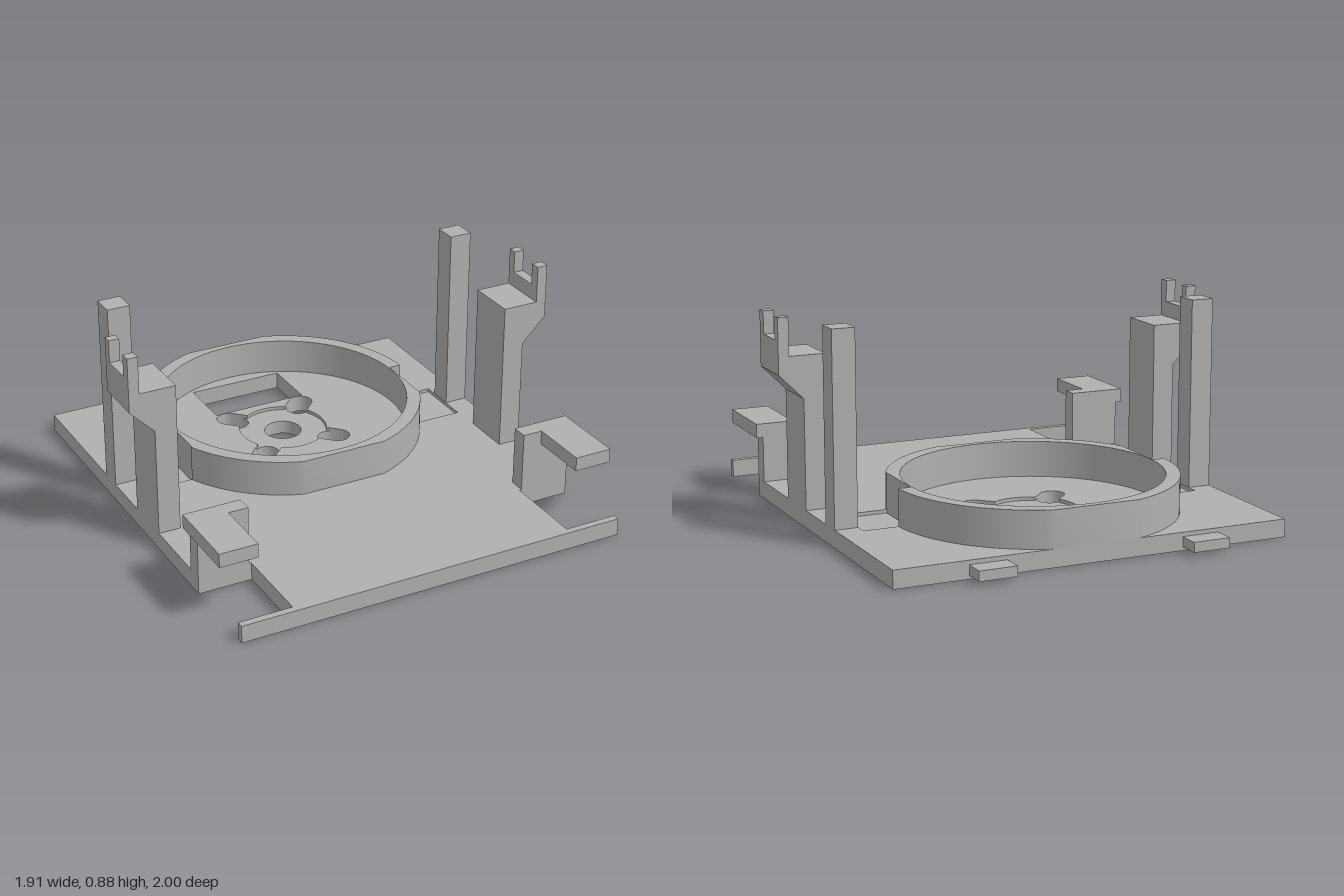
import * as THREE from 'three';
import { toCreasedNormals } from 'three/addons/utils/BufferGeometryUtils.js';

const CZ = -0.34;      // z of the ring centre
const TOP = 0.075;     // top of the base plate
const RECESS = 0.015;  // depth of the shallow pockets

export function createModel() {
  const model = new THREE.Group();
  model.name = 'mountingTray';
  const grey = new THREE.MeshStandardMaterial({ color: 0xb0b0b0 });
  grey.name = 'plain grey';

  const add = (name, geometry) => {
    const mesh = new THREE.Mesh(geometry, grey);
    mesh.name = name;
    model.add(mesh);
    return mesh;
  };
  // Box from its limits on each axis
  const box = (name, x0, x1, y0, y1, z0, z1) => {
    const g = new THREE.BoxGeometry(x1 - x0, y1 - y0, z1 - z0);
    g.translate((x0 + x1) / 2, (y0 + y1) / 2, (z0 + z1) / 2);
    return add(name, g);
  };
  // Upright extrusion of a plan drawn in (x, z)
  const slab = (name, shape, y0, y1) => {
    const g = new THREE.ExtrudeGeometry(shape, { depth: y1 - y0, bevelEnabled: false, curveSegments: 96 });
    g.rotateX(Math.PI / 2);
    g.translate(0, y1, 0);
    return add(name, toCreasedNormals(g, 0.4));
  };
  const path = (pts) => new THREE.Path(pts.map(([x, z]) => new THREE.Vector2(x, z)));
  const rect = (x0, x1, z0, z1) => path([[x0, z0], [x1, z0], [x1, z1], [x0, z1]]);
  const circle = (r) => new THREE.Path().absarc(0, CZ, r, 0, Math.PI * 2);

  // Base plan with two notches near the front corners
  const half = [[0.85, -0.91], [0.85, 0.615], [0.62, 0.615], [0.62, 0.97], [0.85, 0.97], [0.85, 1]];
  const plan = () => new THREE.Shape(
    [...half, ...half.map(([x, z]) => [-x, z]).reverse()].map(([x, z]) => new THREE.Vector2(x, z)));
  const window = rect(-0.212, 0.212, -0.82, -0.572);

  // Lower layer: window, shaft hole and four diagonal slots
  const lower = plan();
  lower.holes.push(window, circle(0.08));
  const SLOT_R = 0.052, NEAR = 0.215, FAR = 0.252;
  for (let i = 0; i < 4; i++) {
    const a = Math.PI / 4 + i * Math.PI / 2;
    const slot = new THREE.Path();
    slot.absarc(FAR * Math.cos(a), CZ + FAR * Math.sin(a), SLOT_R, a - Math.PI / 2, a + Math.PI / 2);
    slot.absarc(NEAR * Math.cos(a), CZ + NEAR * Math.sin(a), SLOT_R, a + Math.PI / 2, a + Math.PI * 1.5);
    slot.closePath();
    lower.holes.push(slot);
  }
  slab('basePlate', lower, 0, TOP - RECESS);

  // Upper layer: round recess merged with the slots, and two side pockets
  const recess = [];
  for (let i = 0; i < 360; i++) {
    const t = (i / 360) * Math.PI * 2;
    const phi = (t % (Math.PI / 2)) - Math.PI / 4;
    const s = Math.abs(Math.sin(phi));
    const r = s < SLOT_R / FAR
      ? FAR * Math.cos(phi) + Math.sqrt(SLOT_R ** 2 - (FAR * s) ** 2)
      : Math.max(0.19, SLOT_R / s);
    recess.push([r * Math.cos(t), CZ + r * Math.sin(t)]);
  }
  const upper = plan();
  upper.holes.push(window, path(recess),
    rect(0.545, 0.75, -0.36, -0.1), rect(-0.75, -0.545, -0.36, -0.1));
  slab('baseTopLayer', upper, TOP - RECESS, TOP);

  // Ring wall: flattened front and back, cut away beside the pockets
  const R = 0.6, side = [];
  const arc = (z0, z1) => {
    const a0 = Math.asin(z0 / R), a1 = Math.asin(z1 / R);
    for (let i = 0; i <= 24; i++) {
      const a = a0 + (a1 - a0) * i / 24;
      side.push([R * Math.cos(a), CZ + R * Math.sin(a)]);
    }
  };
  arc(-0.57, -0.02);
  side.push([0.545, CZ - 0.02], [0.545, CZ + 0.24]);
  arc(0.242, 0.57);
  const ring = new THREE.Shape(
    [...side, ...side.map(([x, z]) => [-x, z]).reverse()].map(([x, z]) => new THREE.Vector2(x, z)));
  ring.holes.push(circle(0.541));
  slab('ringWall', ring, TOP - RECESS, 0.23);

  // Fork bracket outline in (x, y), for the +x side
  const bracket = [[0.755, TOP], [0.85, TOP], [0.85, 0.54], [0.955, 0.645],
    [0.955, 0.785], [0.91, 0.785], [0.91, 0.72], [0.755, 0.72]];

  for (const s of [1, -1]) {
    const label = s > 0 ? 'left' : 'right';
    const sideBox = (name, x0, x1, ...rest) =>
      box(label + name, Math.min(s * x0, s * x1), Math.max(s * x0, s * x1), ...rest);

    sideBox('BackTab', 0.38, 0.54, 0.015, 0.057, -1, -0.91);
    sideBox('RearPost', 0.752, 0.85, TOP, 0.88, -0.307, -0.205);

    // Fork bracket with two prongs
    const shape = new THREE.Shape(bracket.map(([x, y]) => new THREE.Vector2(s * x, y)));
    const g = new THREE.ExtrudeGeometry(shape, { depth: 0.22, bevelEnabled: false });
    g.translate(0, 0, 0.02);
    add(label + 'ForkBracket', g);
    for (const z of [0.02, 0.195]) {
      sideBox('ForkProng', 0.91, 0.955, 0.785, 0.88, z, z + (z < 0.1 ? 0.038 : 0.045));
    }

    // Front clip: upright, cap and forward arm
    sideBox('ClipUpright', 0.63, 0.85, TOP, 0.27, 0.545, 0.615);
    sideBox('ClipCap', 0.63, 0.878, 0.27, 0.33, 0.545, 0.615);
    sideBox('ClipArm', 0.715, 0.878, 0.27, 0.33, 0.615, 0.875);
  }
  return model;
}
